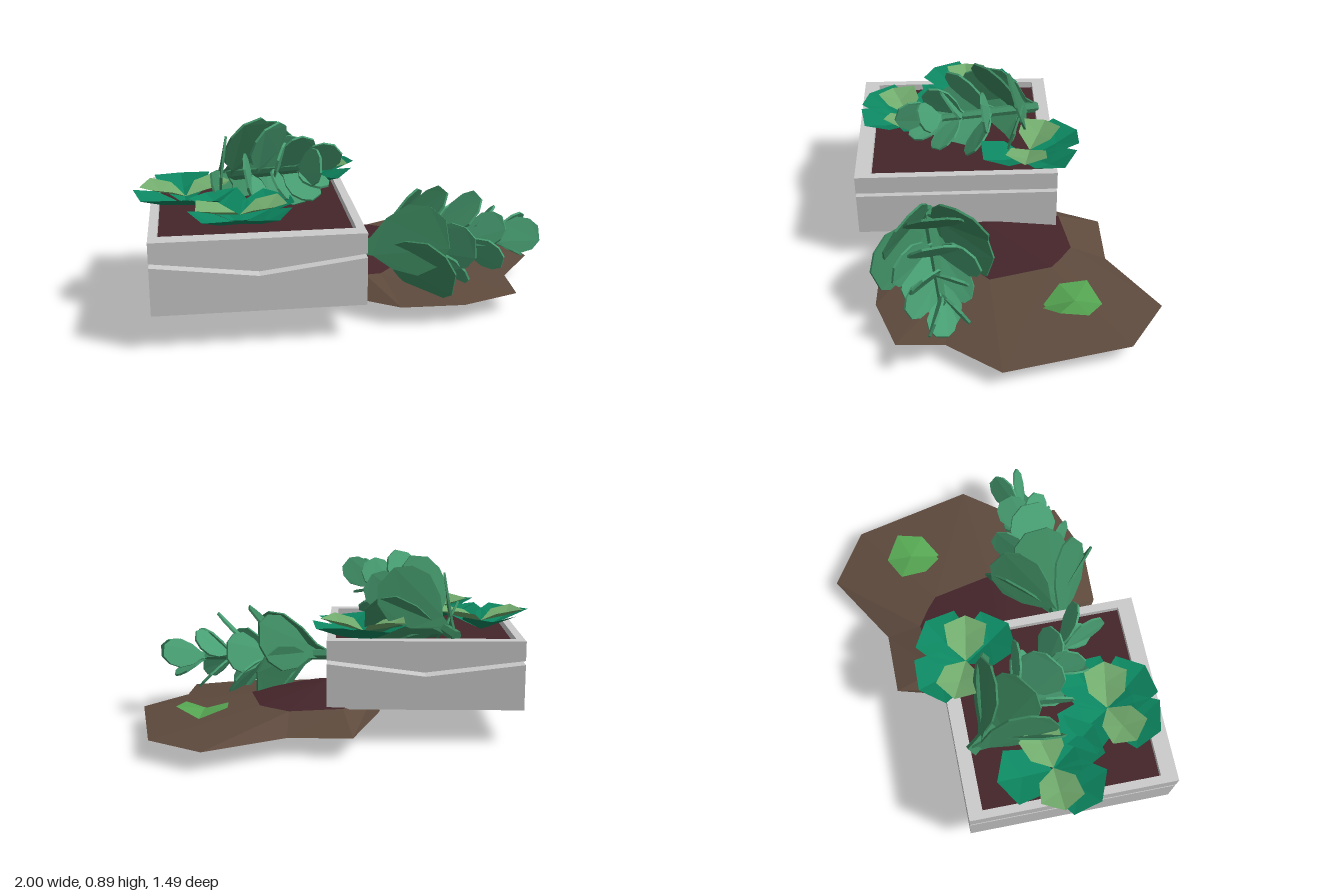
import * as THREE from 'three';

const mat = (color) => new THREE.MeshStandardMaterial({ color, flatShading: true, side: THREE.DoubleSide });
const V = (x, y, z) => new THREE.Vector3(x, y, z);
const rad = THREE.MathUtils.degToRad;
const stone = mat(0xcccccc), soil = mat(0x44252a), earth = mat(0x5e4a3d);
const paddleDark = mat(0x3c885f), paddleLight = mat(0x489f73);
const teal = mat(0x0c8660), pale = mat(0x72ac6e), fresh = mat(0x55a552);

function add(parent, name, geometry, material) {
  const mesh = new THREE.Mesh(geometry, material);
  mesh.name = name;
  parent.add(mesh);
  return mesh;
}

function box(parent, name, material, x0, x1, y0, y1, z0, z1) {
  const m = add(parent, name, new THREE.BoxGeometry(x1 - x0, y1 - y0, z1 - z0), material);
  m.position.set((x0 + x1) / 2, (y0 + y1) / 2, (z0 + z1) / 2);
}

// Outline in XY pushed from z0 to z1
function slab(parent, name, material, points, z0, z1) {
  const shape = new THREE.Shape(points.map(([x, y]) => new THREE.Vector2(x, y)));
  const geo = new THREE.ExtrudeGeometry(shape, { depth: z1 - z0, bevelEnabled: false });
  add(parent, name, geo.translate(0, 0, z0), material);
}

// Flat-shaded surface from points and faces
function facets(points, index) {
  const geo = new THREE.BufferGeometry();
  geo.setAttribute('position', new THREE.Float32BufferAttribute(points, 3));
  geo.setIndex(index);
  const flat = geo.toNonIndexed();
  flat.computeVertexNormals();
  return flat;
}

// Planter: solid lower body and upper frame parted by a V-shaped groove
function planter() {
  const g = new THREE.Group();
  g.name = 'planter';
  const L = -0.93, R = 0.03, M = -0.45, B = -0.28, F = 0.74;
  slab(g, 'lowerBody', stone, [[L, 0.17], [R, 0.17], [R, 0.395], [M, 0.335], [L, 0.395]], B, F);
  const board = [[L, 0.415], [M, 0.357], [R, 0.415], [R, 0.51], [L, 0.51]];
  slab(g, 'backBoard', stone, board, B, B + 0.07);
  slab(g, 'frontBoard', stone, board, F - 0.08, F);
  box(g, 'leftBoard', stone, R - 0.04, R, 0.415, 0.51, B + 0.07, F - 0.08);
  box(g, 'rightBoard', stone, L, L + 0.04, 0.415, 0.51, B + 0.07, F - 0.08);
  box(g, 'innerCore', stone, L + 0.035, R - 0.035, 0.3, 0.44, B + 0.09, F - 0.09);
  box(g, 'soilBed', soil, L + 0.038, R - 0.038, 0.43, 0.475, B + 0.068, F - 0.078);
  return g;
}

// Spilled earth: outer rim on the floor, sloping up to a dark soil crown
function earthHeap() {
  const g = new THREE.Group();
  g.name = 'earthHeap';
  const rim = [
    [-0.1, -0.52], [0.21, -0.52], [0.58, -0.75], [0.85, -0.57], [0.99, 0.04], [0.8, 0.3],
    [0.79, 0.53], [0.51, 0.635], [0.21, 0.625], [0, 0.48], [-0.21, 0.24], [-0.235, -0.03],
  ];
  const crown = [
    [-0.05, 0.178, -0.3], [0.21, 0.175, -0.34], [0.3, 0.176, -0.28], [0.36, 0.175, -0.23], [0.43, 0.165, 0.08],
    [0.34, 0.17, 0.17], [0.27, 0.17, 0.24], [0.16, 0.165, 0.36], [0.08, 0.17, 0.38], [-0.05, 0.17, 0.36],
    [-0.18, 0.18, 0.2], [-0.2, 0.18, -0.05],
  ];
  const n = rim.length, slope = [], cap = [];
  for (let i = 0; i < n; i++) {
    const j = (i + 1) % n;
    slope.push(i, n + i, j, j, n + i, n + j, 2 * n, i, j);
    cap.push(n, j, i);
  }
  const outer = rim.flatMap(([x, z]) => [x, 0.095, z]);
  add(g, 'slope', facets([...outer, ...crown.flat(), 0.3, 0.095, 0], slope), earth);
  add(g, 'darkCrown', facets([...crown.flat(), 0.06, 0.222, 0.08], cap), soil);
  return g;
}

// Thick paddle leaf growing along +y, face toward z, slightly curled
function paddleGeometry(len, wid) {
  const half = [[0.08, 0], [0.13, 0.14], [0.36, 0.34], [0.5, 0.6], [0.42, 0.83], [0.2, 0.98]];
  const pts = [...half, ...half.map(([x, y]) => [-x, y]).reverse()];
  const shape = new THREE.Shape(pts.map(([x, y]) => new THREE.Vector2(x * wid, y * len)));
  const geo = new THREE.ExtrudeGeometry(shape, { depth: 0.011, bevelEnabled: false });
  const a = geo.attributes.position;
  for (let i = 0; i < a.count; i++) {
    const t = a.getY(i) / len;
    a.setZ(i, a.getZ(i) + 0.08 * len * t * (t - 1));
  }
  geo.computeVertexNormals();
  return geo;
}

// Rosette plant along +x: rows of [x, whorl angle from up toward +z, length, width, tilt from stem]
function rosette(name) {
  const g = new THREE.Group();
  g.name = name;
  const stem = add(g, 'stem', new THREE.CylinderGeometry(0.018, 0.032, 0.72, 6), paddleDark);
  stem.rotation.z = -Math.PI / 2;
  stem.position.x = 0.36;
  const rows = [
    [0.02, 62, 0.45, 0.34, 33], [0.16, 0, 0.39, 0.3, 43], [0.1, 110, 0.44, 0.31, 46], [0.13, 180, 0.41, 0.3, 47],
    [0.08, -55, 0.42, 0.32, 41], [0.1, -108, 0.42, 0.3, 42],
    [0.38, 6, 0.33, 0.25, 45], [0.3, 82, 0.32, 0.23, 42], [0.32, 145, 0.3, 0.22, 45],
    [0.34, 215, 0.3, 0.2, 45], [0.34, -70, 0.3, 0.22, 42],
    [0.52, 45, 0.25, 0.18, 38], [0.52, 115, 0.25, 0.17, 44], [0.54, 190, 0.24, 0.16, 42],
    [0.54, -30, 0.24, 0.18, 38],
    [0.67, 70, 0.26, 0.18, 14], [0.67, -60, 0.25, 0.16, 24], [0.67, 170, 0.2, 0.14, 28],
  ];
  for (const [x, angle, len, wid, tilt] of rows) {
    const out = V(0, Math.cos(rad(angle)), Math.sin(rad(angle)));
    const dir = V(Math.cos(rad(tilt)), 0, 0).addScaledVector(out, Math.sin(rad(tilt)));
    const side = V(1, 0, 0).cross(out).normalize();
    const leaf = add(g, 'paddleLeaf', paddleGeometry(len, wid), x < 0.2 ? paddleDark : paddleLight);
    leaf.quaternion.setFromRotationMatrix(new THREE.Matrix4().makeBasis(side, dir, side.clone().cross(dir)));
    leaf.position.set(x, 0, 0);
  }
  return g;
}

// Thin folded leaf growing along +z with a sunken midrib and an optional arch
function foldedGeometry(len, wid, lift, arch = 0) {
  const bump = (t) => arch * Math.sin(Math.PI * t);
  const p = [0, 0, 0, 0, lift * 0.45 + bump(0.55), len * 0.55, 0, lift, len];
  for (const s of [-1, 1]) {
    p.push(s * wid * 0.42, lift * 0.6 + 0.015 + bump(0.3), len * 0.3,
      s * wid * 0.5, lift + 0.015 + bump(0.75), len * 0.76);
  }
  return facets(p, [0, 1, 3, 3, 1, 4, 4, 1, 2, 0, 5, 1, 5, 6, 1, 6, 2, 1]);
}

// Leafy tuft: broad dark leaves below, small pale ones above; angles run from +z toward +x
function tuft(x, z, darkAngles, paleAngles) {
  const g = new THREE.Group();
  g.name = 'groundTuft';
  g.position.set(x, 0.49, z);
  for (const a of darkAngles) {
    add(g, 'broadLeaf', foldedGeometry(0.28, 0.27, 0.085), teal).rotation.y = rad(a);
  }
  for (const a of paleAngles) {
    const leaf = add(g, 'paleLeaf', foldedGeometry(0.22, 0.21, 0.055), pale);
    leaf.rotation.y = rad(a);
    leaf.position.y = 0.045;
  }
  return g;
}

export function createModel() {
  const model = new THREE.Group();
  model.name = 'spilledPlanter';
  model.add(planter(), earthHeap());

  // Fallen plant on the earth
  const fallen = rosette('fallenPlant');
  fallen.position.set(0.03, 0.305, 0.38);
  fallen.rotation.y = rad(6);
  model.add(fallen);

  // Plant still rooted, leaning forward over the bed
  const rooted = rosette('rootedPlant');
  rooted.position.set(-0.6, 0.52, -0.21);
  rooted.quaternion.setFromUnitVectors(V(1, 0, 0), V(0.52, 0.24, 0.72).normalize());
  rooted.scale.setScalar(0.97);
  model.add(rooted);

  // Tufts around the bed
  model.add(tuft(-0.15, -0.15, [30, 125, 205], [80, 245]));
  model.add(tuft(-0.76, 0.16, [-48, 35, 185], [-88, 105]));
  model.add(tuft(-0.52, 0.48, [-38, 36, 118, 212], [-65, 82]));

  // Loose leaf arched over the earth
  const loose = add(model, 'looseLeaf', foldedGeometry(0.29, 0.25, 0.03, 0.035), fresh);
  loose.position.set(0.61, 0.135, -0.16);
  loose.rotation.y = rad(176);
  return model;
}
